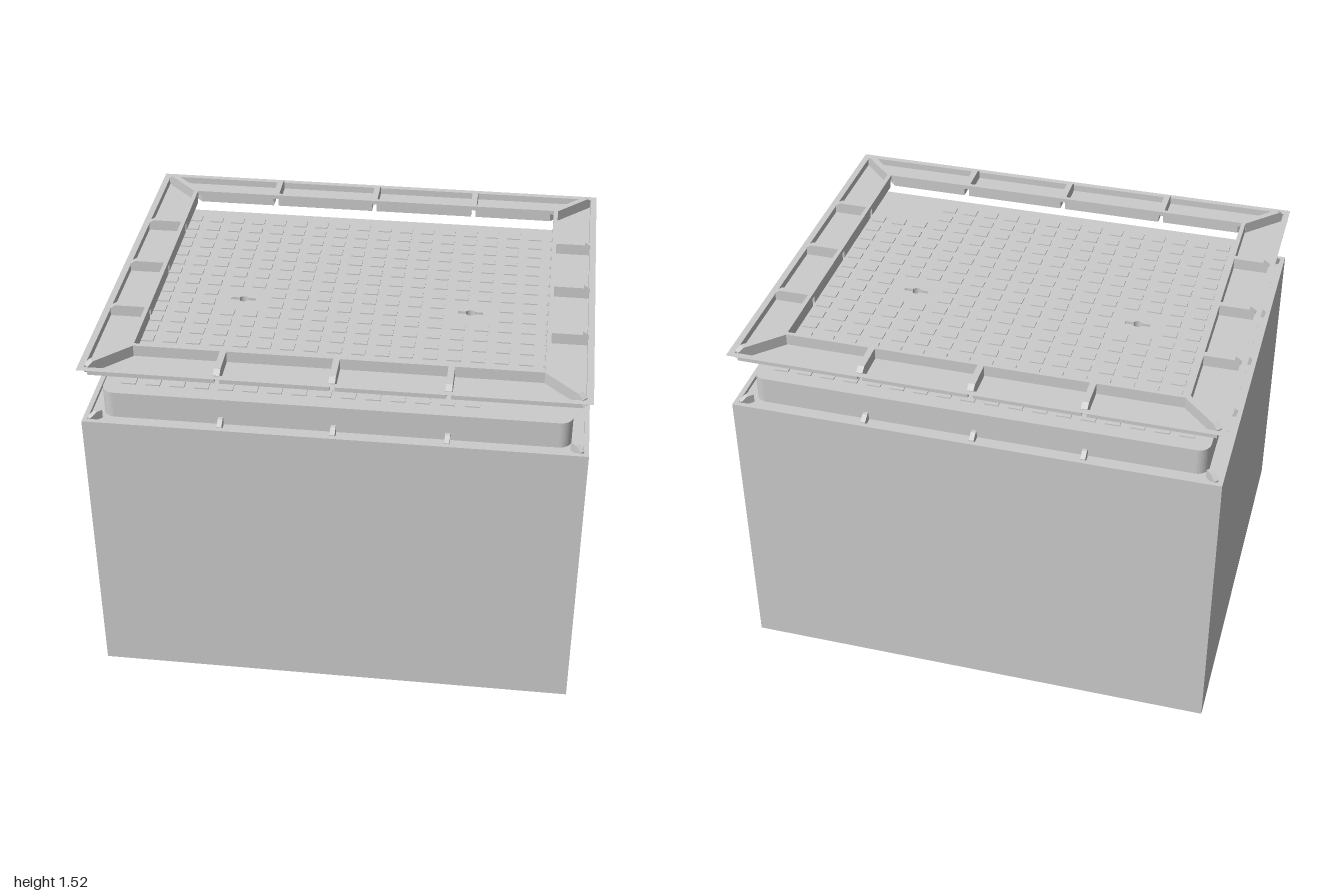
import * as THREE from 'three';
import { mergeGeometries } from 'three/addons/utils/BufferGeometryUtils.js';

const mat = new THREE.MeshStandardMaterial({ color: 0xcccccc, flatShading: true });

// Traces a rectangle of half sizes hx, hz with optional rounded corners
function rect(path, hx, hz, r = 0) {
  if (!r) {
    path.moveTo(-hx, -hz).lineTo(hx, -hz).lineTo(hx, hz).lineTo(-hx, hz);
  } else {
    path.absarc(hx - r, -hz + r, r, -Math.PI / 2, 0);
    path.absarc(hx - r, hz - r, r, 0, Math.PI / 2);
    path.absarc(-hx + r, hz - r, r, Math.PI / 2, Math.PI);
    path.absarc(-hx + r, -hz + r, r, Math.PI, Math.PI * 1.5);
  }
  path.closePath();
  return path;
}

// Extrudes a plan shape upward from y0 to y1 (shape y becomes -z)
function slab(shape, y0, y1) {
  const g = new THREE.ExtrudeGeometry(shape, { depth: y1 - y0, bevelEnabled: false, curveSegments: 6 });
  return g.rotateX(-Math.PI / 2).translate(0, y0, 0);
}

function ring(ox, oz, ix, iz, y0, y1) {
  const s = rect(new THREE.Shape(), ox, oz);
  s.holes.push(rect(new THREE.Path(), ix, iz));
  return slab(s, y0, y1);
}

function add(group, name, geometries) {
  const m = new THREE.Mesh(mergeGeometries(geometries.map(g => g.index ? g.toNonIndexed() : g)), mat);
  m.name = name;
  group.add(m);
}

// Bar from plan point a to b, its outer end (b) chamfered on top, shifted sideways by offset
function bar([ax, az], [bx, bz], width, y0, y1, chamfer, drop, offset = 0) {
  const len = Math.hypot(bx - ax, bz - az);
  const s = new THREE.Shape();
  s.moveTo(0, y0).lineTo(len, y0).lineTo(len, y1 - drop).lineTo(len - chamfer, y1).lineTo(0, y1).closePath();
  const g = new THREE.ExtrudeGeometry(s, { depth: width, bevelEnabled: false });
  return g.translate(0, 0, offset - width / 2).rotateY(-Math.atan2(bz - az, bx - ax)).translate(ax, 0, az);
}

const RIB_X = [-0.45, 0, 0.45], RIB_Z = [-0.365, 0, 0.365];

// Pairs of inner and outer plan points for every rib position
function ribLines(inner, outer, cornerInset) {
  const lines = [];
  for (const s of [-1, 1]) {
    RIB_X.forEach(x => lines.push([[x, s * inner[1]], [x, s * outer[1]]]));
    RIB_Z.forEach(z => lines.push([[s * inner[0], z], [s * outer[0], z]]));
    for (const t of [-1, 1]) {
      lines.push([[s * inner[0], t * inner[1]], [s * (outer[0] - cornerInset), t * (outer[1] - cornerInset)]]);
    }
  }
  return lines;
}

function buildBody(group) {
  add(group, 'boxWalls', [
    ring(1, 0.839, 0.982, 0.821, 0, 0.015),
    ring(1, 0.839, 0.80, 0.65, 0.015, 0.18),
    ring(1, 0.839, 0.78, 0.63, 0.18, 0.27),
    ring(1, 0.839, 0.76, 0.61, 0.27, 0.93),
    ring(1, 0.839, 0.735, 0.585, 0.93, 1.245),
    ring(1, 0.839, 0.98, 0.819, 1.245, 1.26),
  ]);
  // Locating pegs around the top rim
  add(group, 'locatingPegs', ribLines([0.935, 0.775], [0.98, 0.82], 0.005)
    .map(([a, b]) => bar(a, b, 0.02, 1.245, 1.282, 0.03, 0.018)));
}

function buildLid(group) {
  const plate = rect(new THREE.Shape(), 0.932, 0.77, 0.05);
  // Lifting slots: a flat bar with a round middle
  for (const cx of [-0.49, 0.485]) {
    const p = new THREE.Path();
    const h = 0.009, r = 0.021, w = 0.053, a = Math.asin(h / r);
    p.moveTo(cx - w, h).lineTo(cx - w, -h);
    p.absarc(cx, 0, r, Math.PI + a, Math.PI * 2 - a);
    p.lineTo(cx + w, -h).lineTo(cx + w, h);
    p.absarc(cx, 0, r, a, Math.PI - a);
    p.closePath();
    plate.holes.push(p);
  }
  add(group, 'lidPlate', [slab(plate, 1.245, 1.36)]);

  // Grip studs, leaving one corner blank and the slots clear
  const studs = [];
  for (let i = 0; i < 18; i++) {
    for (let j = 0; j < 18; j++) {
      const x = (i - 8.5) * 0.098, z = (j - 8.5) * 0.08;
      const corner = x > 0.58 && z > 0.54;
      const slot = Math.abs(Math.abs(x) - 0.49) < 0.08 && Math.abs(z) < 0.045;
      if (corner || slot) continue;
      studs.push(new THREE.BoxGeometry(0.058, 0.01, 0.046).translate(x, 1.36, z));
    }
  }
  add(group, 'gripStuds', studs);
}

function buildFrame(group) {
  const gap = 0.011, floorY = 1.47, lipY = 1.503, top = 1.522;
  const floors = [], walls = [];

  // Mitred strip between two offsets on one side, split by the rib gaps
  const strips = (list, near, far, diff, stops, turn, y0, y1) => {
    const cuts = [-Infinity, ...stops, Infinity];
    const at = (off, c, s) => Number.isFinite(c) ? c + s * gap : Math.sign(c) * (off + diff - gap * 1.4);
    for (let k = 0; k < cuts.length - 1; k++) {
      const s = new THREE.Shape();
      s.moveTo(at(near, cuts[k], 1), -near).lineTo(at(far, cuts[k], 1), -far);
      s.lineTo(at(far, cuts[k + 1], -1), -far).lineTo(at(near, cuts[k + 1], -1), -near).closePath();
      list.push(slab(s, y0, y1).rotateY(turn));
    }
  };
  const sides = [[0.65, 0.817, 0.16, RIB_X, 0], [0.81, 0.977, -0.16, RIB_Z, Math.PI / 2]];
  for (const [inner, outer, diff, stops, angle] of sides) {
    for (const turn of [angle, angle + Math.PI]) {
      strips(floors, inner, outer, diff, stops, turn, floorY, floorY + 0.004);
      strips(walls, inner, inner + 0.018, diff, stops, turn, floorY, lipY);
      strips(walls, outer - 0.004, outer, diff, stops, turn, floorY, lipY);
    }
  }
  walls.push(ring(0.828, 0.668, 0.81, 0.65, lipY, top));
  add(group, 'trayFloors', floors);
  add(group, 'trayWalls', walls);
  add(group, 'outerLip', [ring(1, 0.839, 0.973, 0.813, lipY - 0.0003, lipY)]);

  // Hollow ribs: a cap over two thin side walls
  const ribs = ribLines([0.82, 0.66], [0.977, 0.817], 0.01);
  add(group, 'frameRibs', ribs.flatMap(([a, b]) => [
    bar(a, b, 0.026, lipY - 0.002, top, 0.025, 0.016),
    bar(a, b, 0.003, floorY, lipY, 0.001, 0.001, -0.0115),
    bar(a, b, 0.003, floorY, lipY, 0.001, 0.001, 0.0115),
  ]));
}

export function createModel() {
  const model = new THREE.Group();
  model.name = 'accessChamber';
  for (const [name, build] of [['box', buildBody], ['lid', buildLid], ['topFrame', buildFrame]]) {
    const g = new THREE.Group();
    g.name = name;
    build(g);
    model.add(g);
  }
  return model;
}
